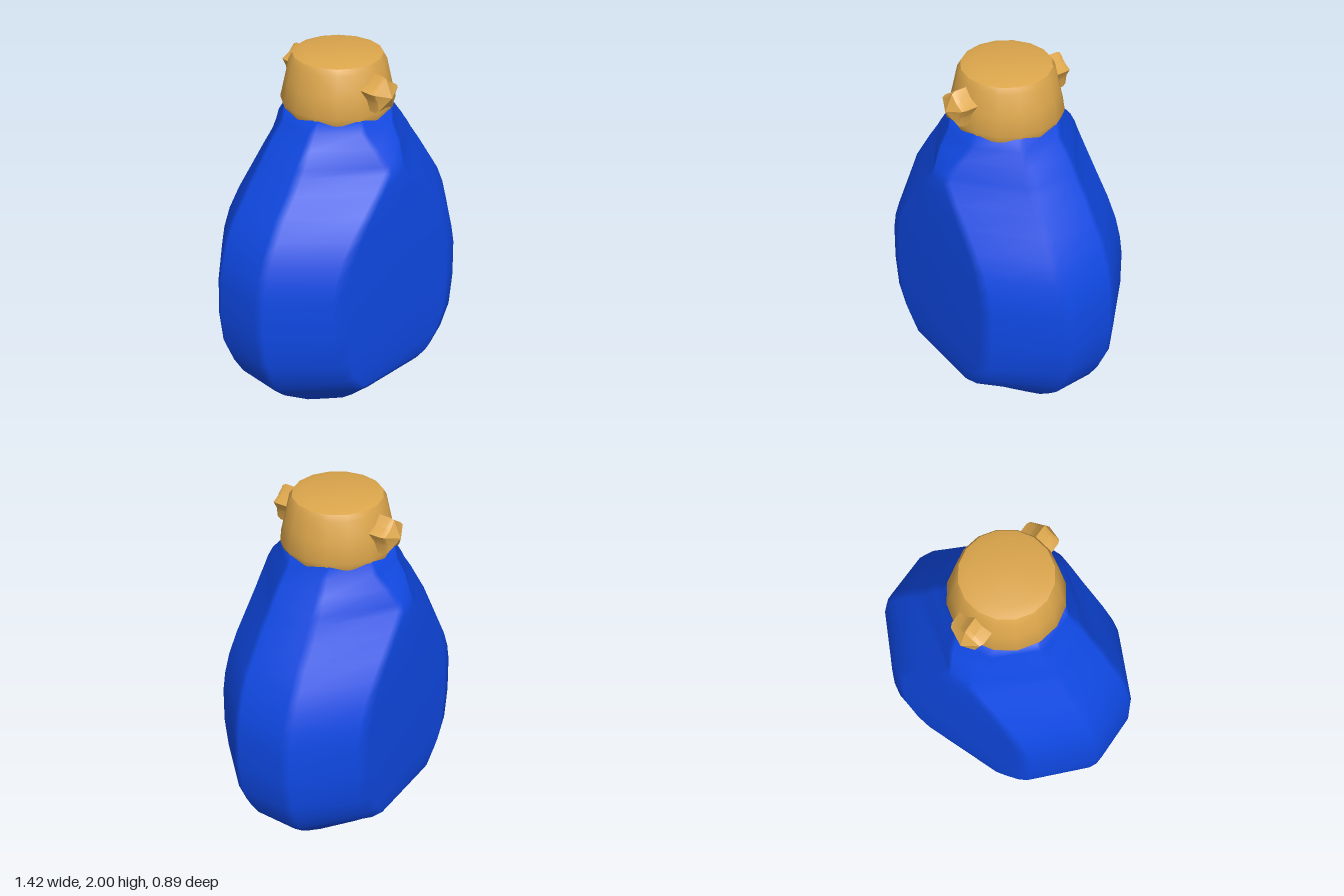
import * as THREE from 'three';
import { toCreasedNormals, mergeVertices } from 'three/addons/utils/BufferGeometryUtils.js';

// Body sections: height, half width, half depth, half width of front flat, half depth of side flat
const SECTIONS = [
  [0, 0.10, 0.14, 0.06, 0.09],
  [0.03, 0.22, 0.17, 0.12, 0.09],
  [0.1, 0.35, 0.245, 0.16, 0.10],
  [0.2, 0.49, 0.345, 0.19, 0.11],
  [0.27, 0.56, 0.415, 0.22, 0.12],
  [0.31, 0.595, 0.437, 0.27, 0.13],
  [0.4, 0.645, 0.443, 0.35, 0.14],
  [0.52, 0.69, 0.445, 0.41, 0.15],
  [0.7, 0.71, 0.445, 0.43, 0.15],
  [0.9, 0.7, 0.44, 0.43, 0.15],
  [1.0, 0.68, 0.438, 0.41, 0.15],
  [1.1, 0.65, 0.435, 0.37, 0.15],
  [1.2, 0.605, 0.432, 0.3, 0.15],
  [1.3, 0.545, 0.429, 0.21, 0.14],
  [1.4, 0.477, 0.426, 0.12, 0.14],
  [1.48, 0.423, 0.42, 0.05, 0.13],
  [1.52, 0.397, 0.405, 0.05, 0.13],
  [1.6, 0.343, 0.352, 0.08, 0.12],
  [1.67, 0.29, 0.29, 0.1, 0.11],
  [1.74, 0.26, 0.26, 0.11, 0.11],
];

// Octagonal ring with every corner softened by two points
function ring([y, w, d, f, s]) {
  const corners = [[w, -s], [w, s], [f, d], [-f, d], [-w, s], [-w, -s], [-f, -d], [f, -d]];
  const points = [];
  corners.forEach(([x, z], i) => {
    for (const [nx, nz] of [corners[(i + 7) % 8], corners[(i + 1) % 8]]) {
      points.push([x + (nx - x) * 0.07, y, z + (nz - z) * 0.07]);
    }
  });
  return points;
}

function bodyGeometry() {
  const rings = SECTIONS.map(ring);
  const n = rings[0].length;
  const last = rings.length - 1;
  const index = [];
  for (let r = 0; r < last; r++) {
    for (let i = 0; i < n; i++) {
      const a = r * n + i, b = r * n + (i + 1) % n;
      index.push(a, a + n, b, b, a + n, b + n);
    }
  }
  // Flat caps below and inside the collar
  for (let i = 1; i < n - 1; i++) {
    index.push(0, i, i + 1);
    index.push(last * n, last * n + i + 1, last * n + i);
  }
  const geometry = new THREE.BufferGeometry();
  geometry.setAttribute('position', new THREE.Float32BufferAttribute(rings.flat(2), 3));
  geometry.setIndex(index);
  geometry.computeVertexNormals();
  return geometry;
}

function capGeometry() {
  const profile = [[0, 1.71], [0.275, 1.71], [0.288, 1.75], [0.265, 1.85], [0.242, 1.955], [0.225, 1.985], [0.17, 2], [0, 2]];
  const lathe = new THREE.LatheGeometry(profile.map(p => new THREE.Vector2(...p)), 16);
  return toCreasedNormals(lathe, 0.7);
}

// Five-pointed stud with a raised centre, pointing along +z
function starGeometry() {
  const profile = [[0.095, 0], [0.095, 0.09], [0.085, 0.11], [0, 0.15]];
  const geometry = new THREE.LatheGeometry(profile.map(p => new THREE.Vector2(...p)), 10);
  const pos = geometry.attributes.position;
  for (let i = 0; i < pos.count; i++) {
    const inner = Math.floor(i / profile.length) % 2 === 0;
    if (inner) pos.setXYZ(i, pos.getX(i) * 0.7, pos.getY(i), pos.getZ(i) * 0.7);
  }
  geometry.rotateX(Math.PI / 2);
  geometry.deleteAttribute('normal');
  geometry.deleteAttribute('uv');
  return toCreasedNormals(mergeVertices(geometry), 0.4);
}

export function createModel() {
  const blue = new THREE.MeshStandardMaterial({ color: 0x0f48e2 });
  blue.name = 'blue glass';
  const gold = new THREE.MeshStandardMaterial({ color: 0xdca64c });
  gold.name = 'gold';

  const model = new THREE.Group();
  model.name = 'bottle';
  const add = (name, geometry, material) => {
    const mesh = new THREE.Mesh(geometry, material);
    mesh.name = name;
    model.add(mesh);
    return mesh;
  };

  add('body', bodyGeometry(), blue);
  add('cap', capGeometry(), gold);

  // Star studs on the front and back of the cap
  const star = starGeometry();
  add('frontStar', star, gold).position.set(0.005, 1.85, 0.215);
  const back = add('backStar', star, gold);
  back.position.set(0.005, 1.85, -0.215);
  back.rotation.y = Math.PI;

  return model;
}
